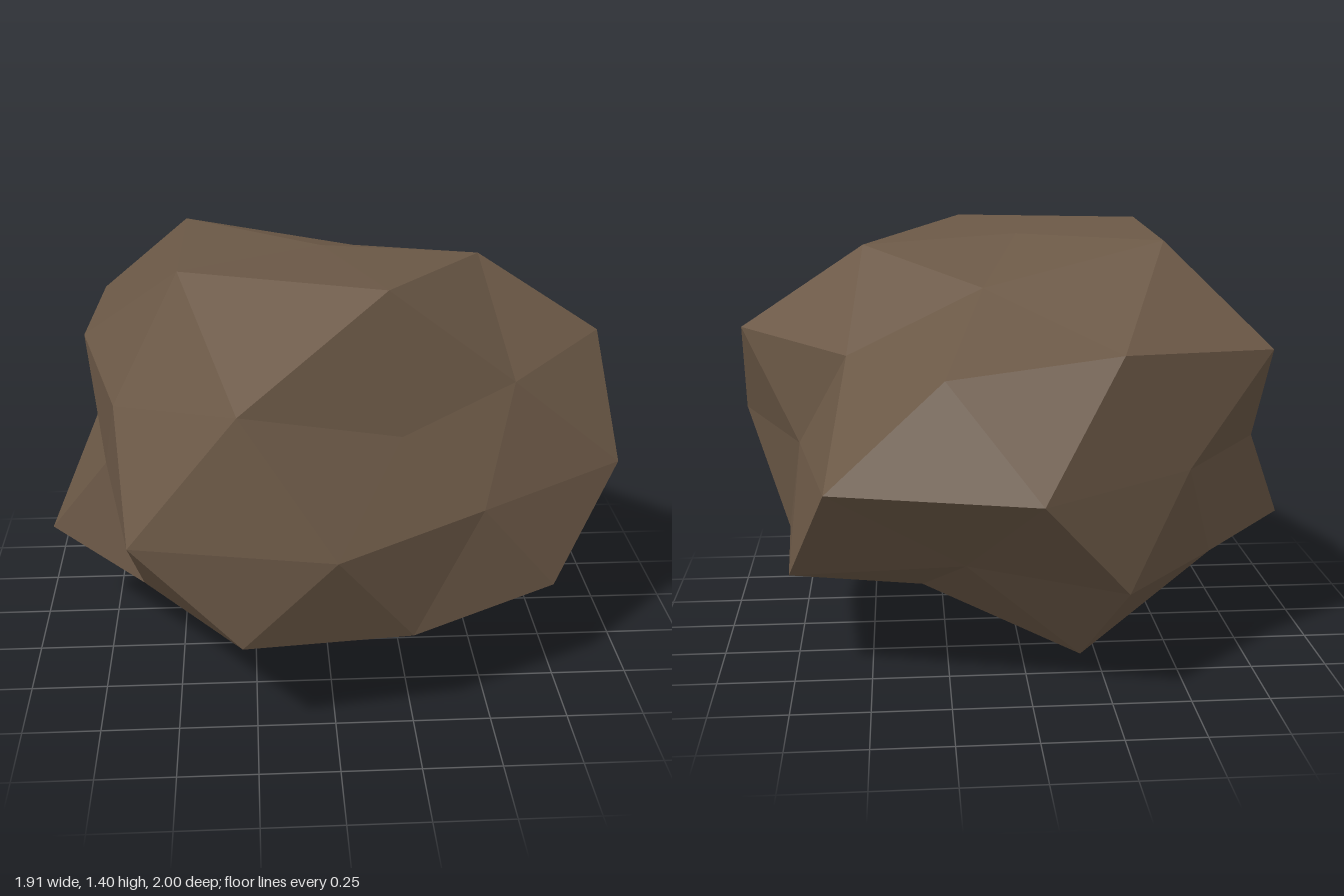
import * as THREE from 'three';

// Faceted boulder: a once-divided icosahedron with a vertex at each pole.
// Every corner keeps its own direction but has its own distance from the axis.
const CENTRE = new THREE.Vector3(-0.01, 0.72, 0.04);
const SLOPE = { inner: 1.204, corner: 0.372, middle: 0.46 }; // height per unit of radius

// Ring of points, angles in degrees turning from +x towards +z
function ring(radii, startAngle, slope) {
  return radii.map((r, i) => {
    const a = THREE.MathUtils.degToRad(startAngle + (i * 360) / radii.length);
    return new THREE.Vector3(r * Math.cos(a), r * slope, r * Math.sin(a)).add(CENTRE);
  });
}

// Forty triangles between one pole and the equator
function addHalf(out, pole, inner, corner, middle, equator, flip) {
  const tri = (a, b, c) => out.push(...(flip ? [a, c, b] : [a, b, c]));
  for (let k = 0; k < 5; k++) {
    const n = (k + 1) % 5;
    const e0 = equator[(2 * k + 9) % 10], e1 = equator[2 * k], e2 = equator[2 * k + 1];
    tri(pole, inner[k], inner[n]);
    tri(inner[k], corner[k], middle[k]);
    tri(inner[k], middle[k], inner[n]);
    tri(inner[n], middle[k], corner[n]);
    tri(corner[k], e1, middle[k]);
    tri(corner[k], e0, e1);
    tri(middle[k], e1, e2);
    tri(corner[n], middle[k], e2);
  }
}

export function createModel() {
  const group = new THREE.Group();
  group.name = 'rock';
  const stone = new THREE.MeshStandardMaterial({ color: 0x6b5846, flatShading: true });
  stone.name = 'brown stone';

  const equator = ring([1.015, 0.8, 0.96, 1.038, 0.757, 0.82, 0.83, 1.04, 1.075, 0.777], 18, 0);
  const points = [];

  // Upper half
  addHalf(points, new THREE.Vector3(CENTRE.x, 1.38, CENTRE.z),
    ring([0.52, 0.56, 0.565, 0.555, 0.445], 0, SLOPE.inner),
    ring([0.94, 0.683, 0.816, 0.946, 0.88], 0, SLOPE.corner),
    ring([0.725, 0.91, 0.79, 0.838, 0.705], 36, SLOPE.middle),
    equator, true);

  // Lower half, turned by 36 degrees
  addHalf(points, new THREE.Vector3(CENTRE.x, 0, CENTRE.z),
    ring([0.433, 0.484, 0.435, 0.55, 0.42], 36, -SLOPE.inner),
    ring([0.9, 0.906, 0.945, 0.9, 0.945], 36, -SLOPE.corner),
    ring([0.8, 0.74, 0.75, 0.67, 0.8], 72, -SLOPE.middle),
    [...equator.slice(1), equator[0]], false);

  const geometry = new THREE.BufferGeometry().setFromPoints(points);
  geometry.computeVertexNormals();
  const boulder = new THREE.Mesh(geometry, stone);
  boulder.name = 'boulder';
  group.add(boulder);
  return group;
}
